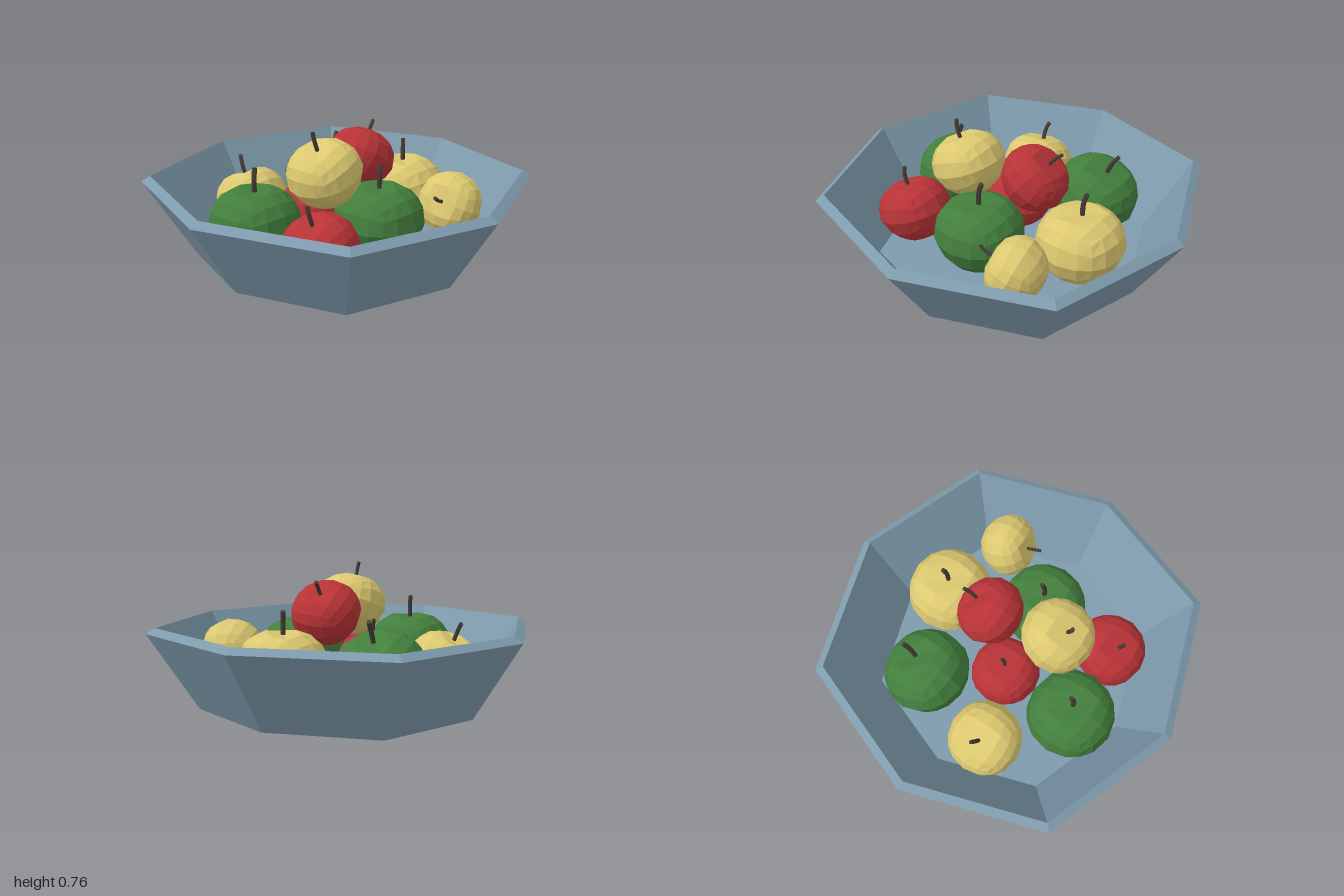
import * as THREE from 'three';

const mat = (name, color) => {
  const m = new THREE.MeshStandardMaterial({ color });
  m.name = name;
  return m;
};

// Split faces apart so every facet is shaded flat
function faceted(geometry) {
  const g = geometry.toNonIndexed();
  g.computeVertexNormals();
  return g;
}

// Eight-sided bowl: outer wall, bevelled rim, inner wall and floor
function bowlGeometry() {
  const profile = [[0, 0], [0.75, 0.012], [1, 0.42], [0.955, 0.45], [0.715, 0.05], [0, 0.045]];
  const g = new THREE.LatheGeometry(profile.map(([r, y]) => new THREE.Vector2(r, y)), 8);
  const p = g.attributes.position;
  for (let i = 0; i < p.count; i++) {
    const x = p.getX(i), z = p.getZ(i);
    const k = Math.abs(x * z) > 1e-4 ? 1.054 : 1; // corners on the diagonals sit further out
    p.setXYZ(i, x * k, p.getY(i), z * k);
  }
  return faceted(g);
}

// Unit apple: a cube swelled to a ball, narrowed below and dimpled at the top
function appleGeometry() {
  const g = new THREE.BoxGeometry(2, 2, 2, 4, 4, 4);
  const p = g.attributes.position;
  const v = new THREE.Vector3();
  for (let i = 0; i < p.count; i++) {
    v.fromBufferAttribute(p, i).normalize();
    const rho = Math.hypot(v.x, v.z);
    const dip = Math.exp(-((rho / 0.3) ** 2));
    const wide = v.y < 0 ? 1 + 0.16 * v.y : 1 + 0.05 * v.y;
    p.setXYZ(i, v.x * wide, 0.9 * v.y - (v.y > 0 ? 0.16 : -0.06) * dip, v.z * wide);
  }
  return faceted(g);
}

// Short bent stem rising from the dimple
function stemGeometry() {
  const path = new THREE.CatmullRomCurve3([
    new THREE.Vector3(0, 0.68, 0),
    new THREE.Vector3(0, 0.98, 0),
    new THREE.Vector3(0.02, 1.12, -0.01),
    new THREE.Vector3(0.06, 1.25, -0.04),
  ]);
  const g = new THREE.TubeGeometry(path, 4, 0.055, 6);
  const tip = new THREE.CircleGeometry(0.055, 6);
  tip.lookAt(path.getTangent(1));
  tip.translate(0.06, 1.25, -0.04);
  return [faceted(g), faceted(tip)];
}

export function createModel() {
  const group = new THREE.Group();
  const bowlMat = mat('blueGrey', 0x7e9bad);
  const red = mat('red', 0xb83337);
  const yellow = mat('yellow', 0xdcc870);
  const green = mat('green', 0x437f3d);
  const stemMat = mat('stemBrown', 0x453c35);

  const bowl = new THREE.Mesh(bowlGeometry(), bowlMat);
  bowl.name = 'bowl';
  group.add(bowl);

  const appleGeo = appleGeometry();
  const [stemGeo, tipGeo] = stemGeometry();
  const up = new THREE.Vector3(0, 1, 0);

  // name, material, centre, radius, direction of the stem
  const apples = [
    ['greenAppleLeft', green, [-0.485, 0.26, -0.135], 0.24, [0, 1, 0]],
    ['greenAppleBack', green, [0.29, 0.255, -0.38], 0.24, [0.4, 1, 0]],
    ['greenAppleFront', green, [-0.015, 0.26, 0.3], 0.24, [0, 1, 0]],
    ['yellowAppleBack', yellow, [-0.18, 0.235, -0.5], 0.203, [0, 1, -0.4]],
    ['yellowAppleRight', yellow, [0.47, 0.26, 0.08], 0.238, [0, 1, -0.03]],
    ['yellowAppleTop', yellow, [-0.22, 0.52, 0.11], 0.2, [-0.4, 1, 0]],
    ['yellowAppleFront', yellow, [0.36, 0.3, 0.49], 0.176, [-1, 0.4, 0.2]],
    ['redAppleTop', red, [0.145, 0.51, 0.03], 0.187, [0.75, 1, -0.15]],
    ['redAppleMiddle', red, [-0.055, 0.235, -0.13], 0.19, [0, 1, -0.05]],
    ['redAppleFront', red, [-0.46, 0.235, 0.3], 0.2, [-0.35, 1, -0.03]],
  ];
  for (const [name, material, centre, radius, dir] of apples) {
    const apple = new THREE.Group();
    apple.name = name;
    const body = new THREE.Mesh(appleGeo, material);
    body.name = 'appleBody';
    const stem = new THREE.Mesh(stemGeo, stemMat);
    stem.name = 'stem';
    const tip = new THREE.Mesh(tipGeo, stemMat);
    tip.name = 'stemTip';
    apple.add(body, stem, tip);
    apple.position.set(...centre);
    apple.scale.setScalar(radius);
    apple.quaternion.setFromUnitVectors(up, new THREE.Vector3(...dir).normalize());
    group.add(apple);
  }
  return group;
}
